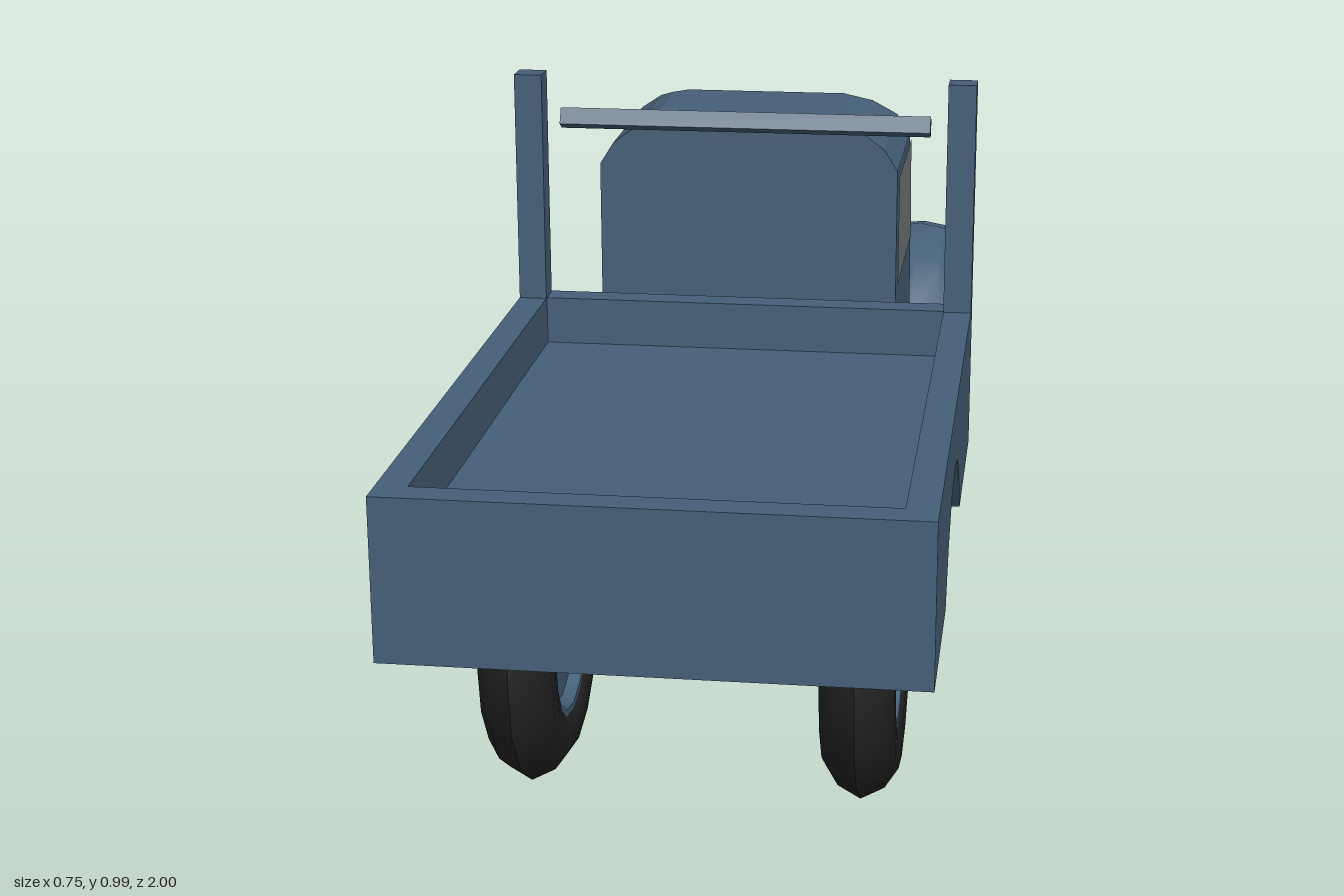
import * as THREE from 'three';
import { toCreasedNormals } from 'three/addons/utils/BufferGeometryUtils.js';

const mat = (color, flatShading = true, side = THREE.FrontSide) =>
  new THREE.MeshStandardMaterial({ color, flatShading, side, roughness: 0.8 });
const BLUE = mat(0x456078), BLUE_SMOOTH = mat(0x456078, false), FENDER = mat(0x456078, false, THREE.DoubleSide);
const RUBBER = mat(0x222222, false), STEEL = mat(0x5c5956), DARK = mat(0x262626);
const GLASS = mat(0x737b78, true, THREE.DoubleSide), LENS = mat(0x98a5a3);

function add(parent, name, geometry, material, x = 0, y = 0, z = 0) {
  const mesh = new THREE.Mesh(geometry, material);
  mesh.name = name;
  mesh.position.set(x, y, z);
  parent.add(mesh);
  return mesh;
}

// Box given by its minimum and maximum corners
function box(parent, name, a, b, material = BLUE) {
  const g = new THREE.BoxGeometry(b[0] - a[0], b[1] - a[1], b[2] - a[2]);
  return add(parent, name, g, material, (a[0] + b[0]) / 2, (a[1] + b[1]) / 2, (a[2] + b[2]) / 2);
}

// Skin between cross-sections; closed loops get end caps and outward faces
function loft(rows, closed = true) {
  const n = rows[0].length, tris = [];
  for (let i = 0; i < rows.length - 1; i++) {
    for (let j = 0; j < (closed ? n : n - 1); j++) {
      const k = (j + 1) % n, p = rows[i], q = rows[i + 1];
      tris.push([p[j], p[k], q[k]], [p[j], q[k], q[j]]);
    }
  }
  if (closed) {
    const first = rows[0], last = rows[rows.length - 1];
    for (let j = 1; j < n - 1; j++) {
      tris.push([first[0], first[j + 1], first[j]], [last[0], last[j], last[j + 1]]);
    }
  }
  const v = (p) => new THREE.Vector3(...p);
  const volume = tris.reduce((s, [a, b, c]) => s + v(a).dot(v(b).cross(v(c))), 0);
  if (closed && volume < 0) tris.forEach((t) => t.reverse());
  const g = new THREE.BufferGeometry();
  g.setAttribute('position', new THREE.Float32BufferAttribute(tris.flat(2), 3));
  g.computeVertexNormals();
  return g;
}

// Lathe from [radius, height] pairs
const lathe = (pts, sides) =>
  new THREE.LatheGeometry(pts.map(([r, h]) => new THREE.Vector2(r, h)), sides);

function makeWheel(name, x, z) {
  const wheel = new THREE.Group();
  wheel.name = name;
  const tyre = lathe([[0.14, -0.045], [0.155, -0.054], [0.195, -0.055], [0.225, -0.035], [0.243, 0],
    [0.225, 0.035], [0.195, 0.055], [0.155, 0.054], [0.14, 0.045]], 16);
  const rim = lathe([[0, -0.035], [0.125, -0.03], [0.135, -0.048], [0.15, -0.048], [0.15, 0.048], [0.135, 0.048],
    [0.125, 0.03], [0.065, 0.04], [0.06, 0.056], [0, 0.056]], 16);
  add(wheel, 'tyre', toCreasedNormals(tyre, 0.9), RUBBER);
  add(wheel, 'rim', toCreasedNormals(rim, 0.5), BLUE_SMOOTH);
  add(wheel, 'hubCap', new THREE.CylinderGeometry(0.03, 0.033, 0.02, 10), DARK, 0, 0.06, 0);
  wheel.rotation.z = x > 0 ? -Math.PI / 2 : Math.PI / 2;
  wheel.position.set(x, 0.245, z);
  return wheel;
}

function makeBed() {
  const bed = new THREE.Group();
  bed.name = 'cargoBed';
  // Sides with the rear wheel arches cut out of the lower edge
  const outline = [[-0.02, 0.38], [0.30, 0.38], [0.35, 0.45], [0.42, 0.50], [0.51, 0.52], [0.60, 0.50],
    [0.67, 0.45], [0.72, 0.38], [1, 0.38]];
  const profile = (top) => new THREE.Shape(
    [...outline, [1, top], [-0.02, top]].map(([z, y]) => new THREE.Vector2(-z, y)));
  const slab = (name, x0, x1, top) => {
    const g = new THREE.ExtrudeGeometry(profile(top), { depth: x1 - x0, bevelEnabled: false });
    g.rotateY(Math.PI / 2);
    add(bed, name, g, BLUE, x0, 0, 0);
  };
  slab('leftSide', 0.33, 0.375, 0.617);
  slab('rightSide', -0.375, -0.33, 0.617);
  slab('leftFloor', 0.18, 0.33, 0.54);
  slab('rightFloor', -0.33, -0.18, 0.54);
  box(bed, 'centreFloor', [-0.18, 0.38, -0.02], [0.18, 0.54, 1]);
  box(bed, 'tailgate', [-0.33, 0.54, 0.955], [0.33, 0.617, 1]);
  box(bed, 'headboard', [-0.33, 0.54, -0.02], [0.33, 0.617, 0.025]);
  for (const s of [-1, 1]) {
    box(bed, 'post', [s * 0.3525 - 0.0225, 0.6, -0.015], [s * 0.3525 + 0.0225, 0.993, 0.03]);
  }
  const rail = add(bed, 'rail', new THREE.BoxGeometry(0.604, 0.028, 0.022), BLUE, 0, 0.92, 0.01);
  rail.rotation.x = -0.5;
  return bed;
}

function makeCab() {
  const cab = new THREE.Group();
  cab.name = 'cab';
  // Horizontal sections: height, half width, front z
  const levels = [[0.305, 0.247, -0.44], [0.49, 0.247, -0.46], [0.64, 0.247, -0.43], [0.835, 0.247, -0.378],
    [0.87, 0.225, -0.355], [0.9, 0.185, -0.32], [0.912, 0.16, -0.29]];
  const rows = levels.map(([y, w, z]) =>
    [[-w, y, -0.035], [w, y, -0.035], [w, y, z + 0.025], [w - 0.025, y, z], [-w + 0.025, y, z], [-w, y, z + 0.025]]);
  add(cab, 'cabShell', loft(rows), BLUE);

  // Windows
  for (const s of [-1, 1]) {
    const x = s * 0.249;
    const pane = loft([[[x, 0.637, -0.055], [x, 0.637, -0.4]], [[x, 0.82, -0.055], [x, 0.82, -0.356]]], false);
    add(cab, 'sideWindow', pane, GLASS);
  }
  const screen = loft([[[-0.215, 0.66, -0.427], [0.215, 0.66, -0.427]],
    [[-0.21, 0.805, -0.388], [0.21, 0.805, -0.388]]], false);
  add(cab, 'windscreen', screen, GLASS);
  box(cab, 'runningBoard', [-0.337, 0.3, -0.4], [0.337, 0.313, -0.05]);
  return cab;
}

function makeNose() {
  const nose = new THREE.Group();
  nose.name = 'nose';
  // Tapering bonnet, each section a mirrored half outline
  const section = (half, z) => [...half, ...half.slice(1, -1).reverse().map(([x, y]) => [-x, y])]
    .map(([x, y]) => [x, y, z]);
  const back = [[0, 0.207], [0.12, 0.225], [0.21, 0.3], [0.215, 0.5], [0.17, 0.6], [0.08, 0.655], [0, 0.668]];
  const front = [[0, 0.207], [0.045, 0.225], [0.085, 0.28], [0.085, 0.55], [0.072, 0.62], [0.035, 0.657], [0, 0.668]];
  add(nose, 'bonnet', loft([section(back, -0.37), section(back, -0.45), section(front, -0.93)]), BLUE);

  // Bowed grille: height, half width, front z
  const levels = [[0.207, 0.04, -0.935], [0.25, 0.068, -0.955], [0.36, 0.085, -0.984], [0.5, 0.087, -0.982],
    [0.6, 0.08, -0.968], [0.645, 0.058, -0.95], [0.668, 0.025, -0.93]];
  const rows = levels.map(([y, w, z]) => [[-w, y, -0.9], [-w, y, z + 0.035], [-w * 0.6, y, z + 0.01], [0, y, z],
    [w * 0.6, y, z + 0.01], [w, y, z + 0.035], [w, y, -0.9]]);
  add(nose, 'grille', loft(rows), BLUE);
  box(nose, 'grilleRib', [-0.004, 0.34, -0.988], [0.004, 0.52, -0.975]);

  // Fender shell: crown path [z, y] swept by an arched section [x, drop towards the wheel]
  const crown = [[-0.32, 0.305], [-0.38, 0.39], [-0.45, 0.475], [-0.55, 0.55], [-0.69, 0.585], [-0.81, 0.56],
    [-0.9, 0.5], [-0.955, 0.42], [-0.998, 0.335]];
  const arch = [[0.165, 0.055], [0.178, 0.022], [0.21, 0.004], [0.25, 0], [0.295, 0.008], [0.322, 0.03], [0.337, 0.065]];
  for (const s of [-1, 1]) {
    const shell = crown.map(([z, y]) => {
      const dz = z + 0.665, dy = y - 0.245, r = Math.hypot(dz, dy);
      return arch.map(([x, d]) => [s * x, y - d * dy / r, z - d * dz / r]);
    });
    add(nose, 'frontFender', toCreasedNormals(loft(shell, false), 0.6), FENDER);

    // Headlamp with its lens set into the bowl
    const lamp = new THREE.Group();
    lamp.name = 'headlamp';
    add(lamp, 'lampBowl', lathe([[0, -0.05], [0.032, -0.035], [0.05, 0], [0.058, 0.025], [0.054, 0.045],
      [0.045, 0.045], [0.043, 0.035]], 9), STEEL);
    add(lamp, 'lens', new THREE.CylinderGeometry(0.044, 0.044, 0.01, 9), LENS, 0, 0.033, 0);
    lamp.rotation.x = -Math.PI / 2;
    lamp.position.set(s * 0.145, 0.592, -0.915);
    nose.add(lamp);
  }
  return nose;
}

export function createModel() {
  const truck = new THREE.Group();
  truck.name = 'truck';
  truck.add(makeBed(), makeCab(), makeNose());
  for (const s of [-1, 1]) {
    truck.add(makeWheel('rearWheel', s * 0.25, 0.51), makeWheel('frontWheel', s * 0.25, -0.665));
  }
  // Axles and drive shaft
  box(truck, 'rearAxle', [-0.22, 0.227, 0.48], [0.22, 0.283, 0.54], STEEL);
  box(truck, 'frontAxle', [-0.22, 0.227, -0.72], [0.22, 0.283, -0.66], STEEL);
  box(truck, 'driveShaft', [-0.015, 0.243, -0.66], [0.015, 0.272, 0.5], STEEL);
  box(truck, 'shaftJoint', [-0.033, 0.226, 0.117], [0.033, 0.288, 0.175], STEEL);
  return truck;
}
